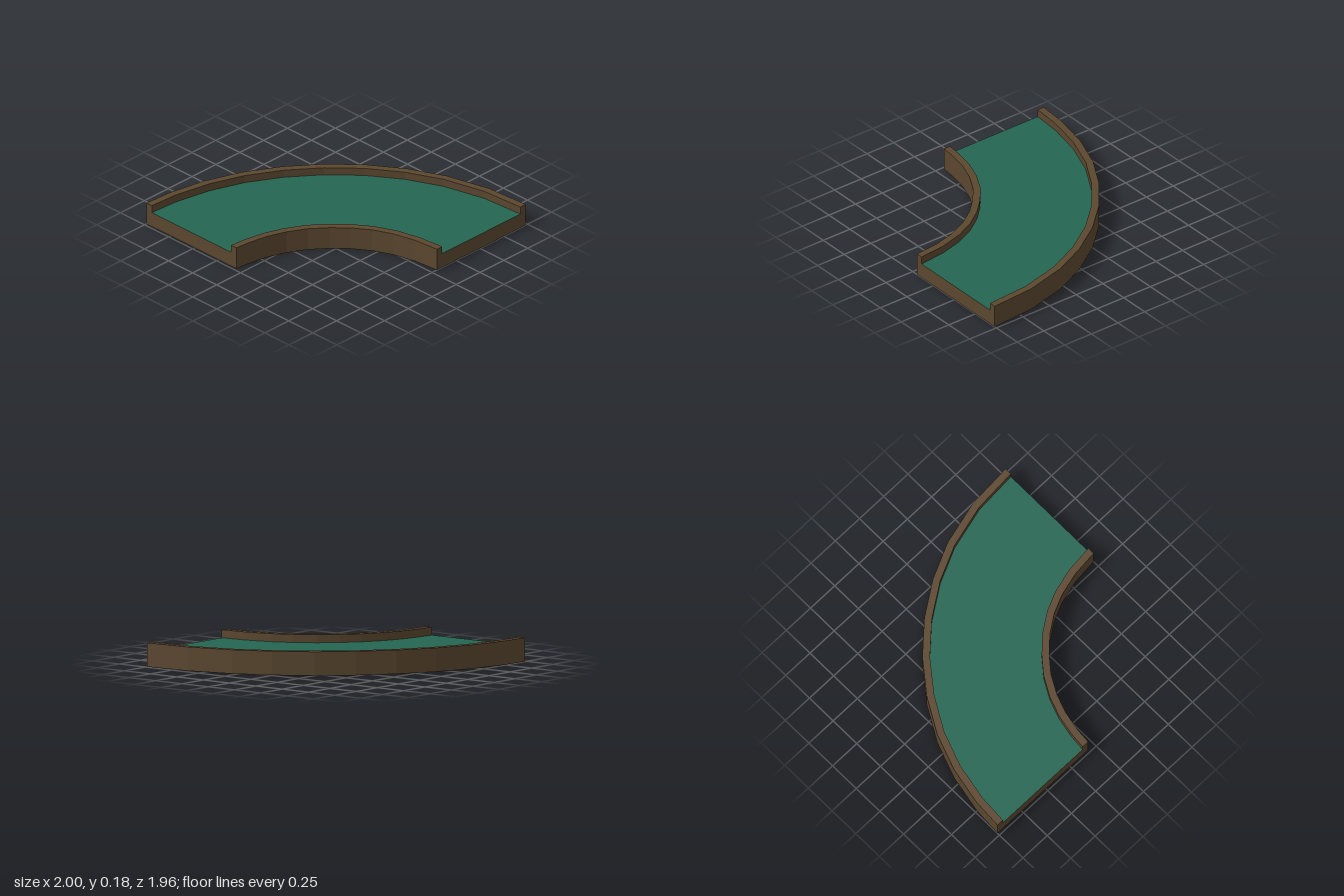
import * as THREE from 'three';

const TOP = 0.178, FLOOR = 0.118, RAIL = 0.056;
const CX = 1, CZ = 0.98; // centre of the bend

// Plan outlines [x, z], from the side end to the front end
const OUTER = [[1, -0.98], [0.64, -0.955], [0.29, -0.865], [0.01, -0.735], [-0.25, -0.56], [-0.475, -0.35],
  [-0.665, -0.11], [-0.82, 0.16], [-0.925, 0.445], [-0.985, 0.745], [-1, 0.98]];
const INNER = [[1, -0.05], [0.795, -0.03], [0.61, 0.018], [0.465, 0.083], [0.326, 0.178], [0.214, 0.285],
  [0.112, 0.408], [0.032, 0.552], [-0.021, 0.697], [-0.053, 0.857], [-0.064, 0.98]];

// Moves an outline towards (negative) or away from the centre of the bend
const offset = (pts, d) => pts.map(([x, z]) => {
  const r = Math.hypot(x - CX, z - CZ), k = 1 + d / r;
  return [CX + (x - CX) * k, CZ + (z - CZ) * k];
});

const atHeight = (pts, y) => pts.map(([x, z]) => [x, y, z]);

// Flat-sided sheet through successive rows of points
function sheet(rows) {
  const pos = [];
  for (let r = 0; r < rows.length - 1; r++) {
    const a = rows[r], b = rows[r + 1];
    for (let i = 0; i < a.length - 1; i++) {
      pos.push(...a[i], ...a[i + 1], ...b[i + 1], ...a[i], ...b[i + 1], ...b[i]);
    }
  }
  const geo = new THREE.BufferGeometry();
  geo.setAttribute('position', new THREE.Float32BufferAttribute(pos, 3));
  geo.computeVertexNormals();
  return geo;
}

// End panel with a raised lug closing each rail
function endPanel(u0, u1) {
  const outline = [[u0, 0], [u1, 0], [u1, TOP], [u1 - RAIL, TOP], [u1 - RAIL, FLOOR],
    [u0 + RAIL, FLOOR], [u0 + RAIL, TOP], [u0, TOP]];
  return new THREE.ShapeGeometry(new THREE.Shape(outline.map(([x, y]) => new THREE.Vector2(x, y))));
}

export function createModel() {
  const group = new THREE.Group();
  const wood = new THREE.MeshStandardMaterial({ color: 0x5b472f, side: THREE.DoubleSide });
  wood.name = 'brown wood';
  const felt = new THREE.MeshStandardMaterial({ color: 0x246552, side: THREE.DoubleSide });
  felt.name = 'green felt';

  const add = (name, geo, mat) => {
    const mesh = new THREE.Mesh(geo, mat);
    mesh.name = name;
    group.add(mesh);
    return mesh;
  };

  // Curved playing surface, open underneath
  add('floor', sheet([atHeight(OUTER, FLOOR), atHeight(INNER, FLOOR)]), felt);

  // Rails: full-height side wall, top and short face above the floor
  const outerEdge = offset(OUTER, -RAIL), innerEdge = offset(INNER, RAIL);
  add('outerRail', sheet([atHeight(OUTER, 0), atHeight(OUTER, TOP),
    atHeight(outerEdge, TOP), atHeight(outerEdge, FLOOR)]), wood);
  add('innerRail', sheet([atHeight(innerEdge, FLOOR), atHeight(innerEdge, TOP),
    atHeight(INNER, TOP), atHeight(INNER, 0)]), wood);

  // Panels across the two open ends
  add('frontEndPanel', endPanel(-1, -0.064), wood).position.z = 0.98;
  const side = add('sideEndPanel', endPanel(0.05, 0.98), wood);
  side.rotation.y = Math.PI / 2;
  side.position.x = 1;

  return group;
}
